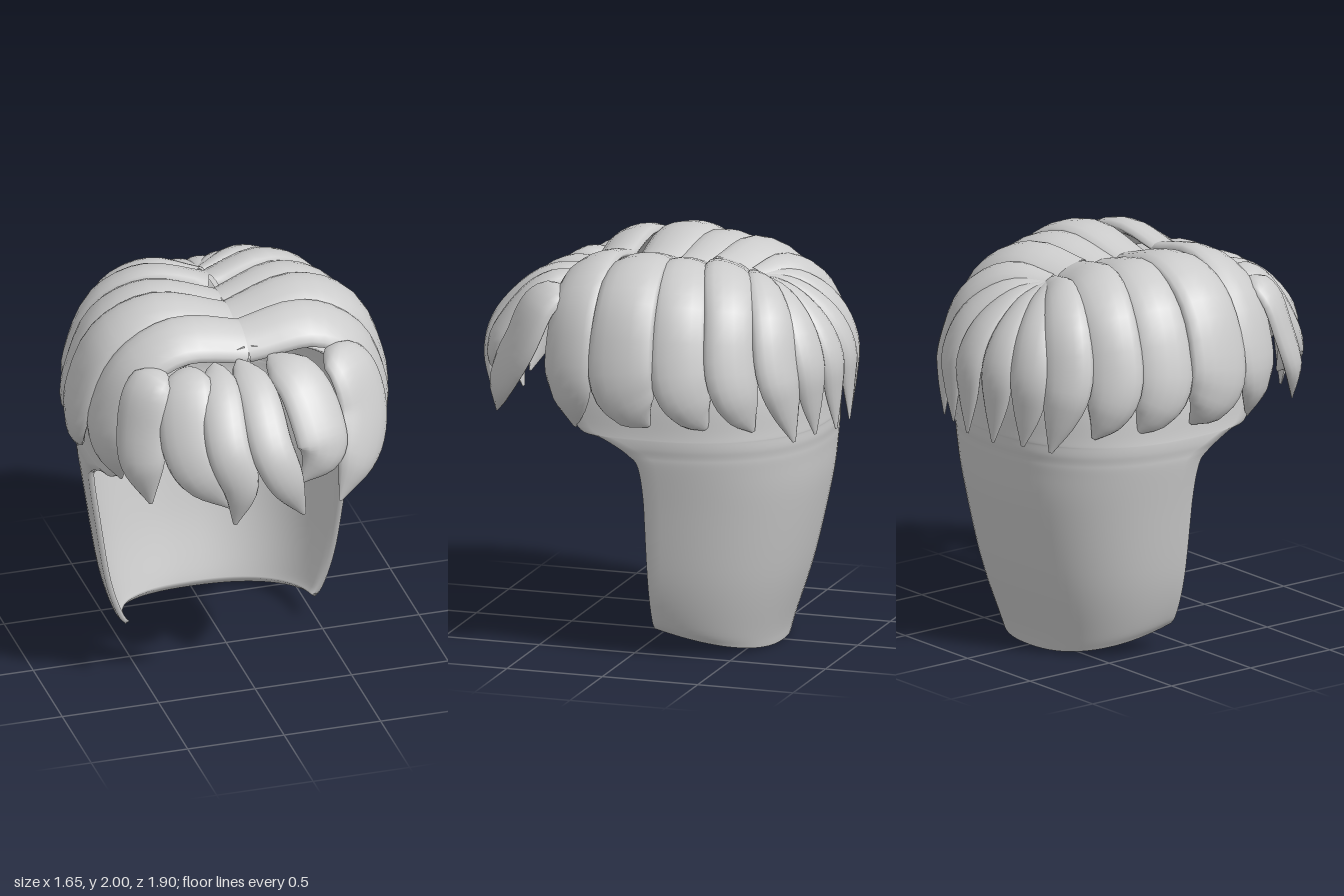
import * as THREE from 'three';

const material = new THREE.MeshStandardMaterial({ color: 0xcccccc, side: THREE.DoubleSide });
const { lerp } = THREE.MathUtils;

// Surface from closed rings: at(i, j) gives point j of ring i
function loft(rings, points, at) {
  const pos = [], index = [];
  for (let i = 0; i < rings; i++) {
    for (let j = 0; j < points; j++) {
      pos.push(...at(i, j));
      if (i === rings - 1) continue;
      const a = i * points + j, b = i * points + ((j + 1) % points);
      index.push(a, a + points, b, b, a + points, b + points);
    }
  }
  const g = new THREE.BufferGeometry();
  g.setAttribute('position', new THREE.Float32BufferAttribute(pos, 3));
  g.setIndex(index);
  g.computeVertexNormals();
  return g;
}

const spline = (points) => new THREE.CatmullRomCurve3(points, false, 'catmullrom', 0.5);

// One lens-shaped strand along a path of [x, y, z, half width]
function lock(name, path, roundRoot) {
  const centre = spline(path.map(([x, y, z]) => new THREE.Vector3(x, y, z)));
  const widths = spline(path.map(([, , , w], i) => new THREE.Vector3(w, i, 0)));
  const middle = new THREE.Vector3(0, 1.2, -0.05);
  const rings = 21, points = 16;
  const frames = Array.from({ length: rings }, (_, i) => {
    const u = i / (rings - 1);
    const p = centre.getPoint(u), t = centre.getTangent(u);
    const n = p.clone().sub(middle);
    n.addScaledVector(t, -n.dot(t)).normalize();
    let w = Math.max(0.003, widths.getPoint(u).x);
    if (roundRoot) w *= Math.sqrt(Math.min(1, u * 7 + 0.001));
    return { p, n, side: t.clone().cross(n), w, h: Math.min(0.065, w * 0.55) };
  });
  const geometry = loft(rings, points, (i, j) => {
    const a = (j / points) * Math.PI * 2, f = frames[i];
    const up = Math.sin(a) * f.h * (Math.sin(a) > 0 ? 1 : 0.35);
    return f.p.clone().addScaledVector(f.side, Math.cos(a) * f.w).addScaledVector(f.n, up).toArray();
  });
  const mesh = new THREE.Mesh(geometry, material);
  mesh.name = name;
  return mesh;
}

// Cap and long back as one thin shell, open at the face
function backShell() {
  // y, half width, back z, front edge z
  const rows = [
    [0, 0.49, -0.61, -0.1], [0.1, 0.53, -0.635, -0.1], [0.4, 0.6, -0.73, -0.1],
    [0.8, 0.66, -0.82, -0.1], [1.0, 0.69, -0.845, -0.08], [1.06, 0.695, -0.85, -0.03],
    [1.1, 0.7, -0.855, 0.03], [1.14, 0.7, -0.855, 0.12], [1.18, 0.695, -0.855, 0.25],
    [1.4, 0.67, -0.835, 0.34], [1.68, 0.57, -0.73, 0.38], [1.82, 0.38, -0.61, 0.38],
    [1.87, 0.02, -0.47, 0.38],
  ];
  const shape = spline(rows.map(([y, w, zb]) => new THREE.Vector3(y, w, zb)));
  const edge = spline(rows.map(([y, , , zf]) => new THREE.Vector3(y, zf, 0)));
  const rings = 73, n = 40, zc = -0.1, zLen = 0.8, power = 0.85;
  const bend = (v) => Math.sign(v) * Math.abs(v) ** power;
  const geometry = loft(rings, 2 * n + 2, (i, j) => {
    const u = i / (rings - 1);
    const { x: y, y: w, z: zb } = shape.getPoint(u);
    const zf = edge.getPoint(u).y;
    const end = Math.PI / 2 + Math.asin(Math.max(0, (zf - zc) / zLen) ** (1 / power));
    const inner = j > n;
    const k = inner ? 2 * n + 1 - j : j;
    const a = end * ((2 * k) / n - 1);
    const inset = inner ? 0.03 * Math.min(1, u * 36, (1 - u) * 12) : 0;
    const c = bend(Math.cos(a));
    const z = zc - c * (c > 0 ? zc - zb - inset : zLen);
    // The hem rises towards the front corners
    const lift = 0.13 * Math.max(0, (z + 0.61) / 0.51) * Math.max(0, 1 - y / 0.5) ** 2;
    return [bend(Math.sin(a)) * (w - inset), y + lift, z];
  });
  const mesh = new THREE.Mesh(geometry, material);
  mesh.name = 'backShell';
  return mesh;
}

// Strands combed from the parting, front to back:
// root z, root width, widest x, z there, width there, shoulder height, tip y, tip z
const sideLocks = [
  [0.28, 0.13, 0.68, 0.28, 0.16, 1.9, 1.17, 0.27],
  [0.05, 0.13, 0.755, -0.01, 0.17, 1.935, 1.22, -0.14],
  [-0.14, 0.11, 0.69, -0.3, 0.15, 1.915, 1.21, -0.43],
  [-0.34, 0.13, 0.6, -0.54, 0.14, 1.895, 1.2, -0.64],
  [-0.47, 0.05, 0.46, -0.73, 0.13, 1.85, 1.13, -0.81],
  [-0.49, 0.03, 0.3, -0.84, 0.11, 1.81, 1.14, -0.87],
  [-0.49, 0.03, 0.11, -0.89, 0.105, 1.79, 1.13, -0.92],
];

const sidePath = ([z0, w0, x, z, w, top, tipY, tipZ], sign) => [
  [0, 1.85, z0, w0],
  [sign * x * 0.48, top, lerp(z0, z, 0.42), lerp(w0, w, 0.6)],
  [sign * x * 0.84, top - 0.135, lerp(z0, z, 0.8), w * 0.95],
  [sign * x, 1.49, z, w],
  [sign * x * 0.985, 1.32, lerp(z, tipZ, 0.45), w * 0.73],
  [sign * x * 0.92, tipY, tipZ, 0.01],
];

// Fringe strands from the model's right to its left:
// root x, belly x, belly z, belly width, low x, low z, tip x, tip y, tip z
const fringeLocks = [
  [-0.44, -0.59, 0.51, 0.14, -0.6, 0.56, -0.57, 1.19, 0.6],
  [-0.32, -0.39, 0.68, 0.15, -0.34, 0.76, -0.21, 1.21, 0.79],
  [-0.18, -0.23, 0.8, 0.11, -0.18, 0.85, -0.2, 1.13, 0.82],
  [-0.06, -0.02, 0.84, 0.11, 0.05, 0.89, 0.15, 1.15, 0.85],
  [0.1, 0.26, 0.75, 0.15, 0.25, 0.79, 0.15, 1.31, 0.81],
  [0.4, 0.53, 0.58, 0.18, 0.47, 0.69, 0.36, 1.15, 0.77],
];

const fringePath = ([x0, x, z, w, lowX, lowZ, tipX, tipY, tipZ]) => [
  [x0, 1.82, 0.39, w * 0.65],
  [lerp(x0, x, 0.7), 1.74, lerp(0.39, z, 0.57), w * 0.95],
  [x, 1.55, z, w],
  [lowX, lerp(1.55, tipY, 0.48), lowZ, w * 0.83],
  [tipX, tipY, tipZ, 0.01],
];

export function createModel() {
  const model = new THREE.Group();
  model.name = 'hairpiece';
  model.add(backShell());
  sideLocks.forEach((spec, i) => {
    model.add(lock(`leftLock${i + 1}`, sidePath(spec, 1), false));
    model.add(lock(`rightLock${i + 1}`, sidePath(spec, -1), false));
  });
  fringeLocks.forEach((spec, i) => model.add(lock(`fringeLock${i + 1}`, fringePath(spec), true)));
  return model;
}
